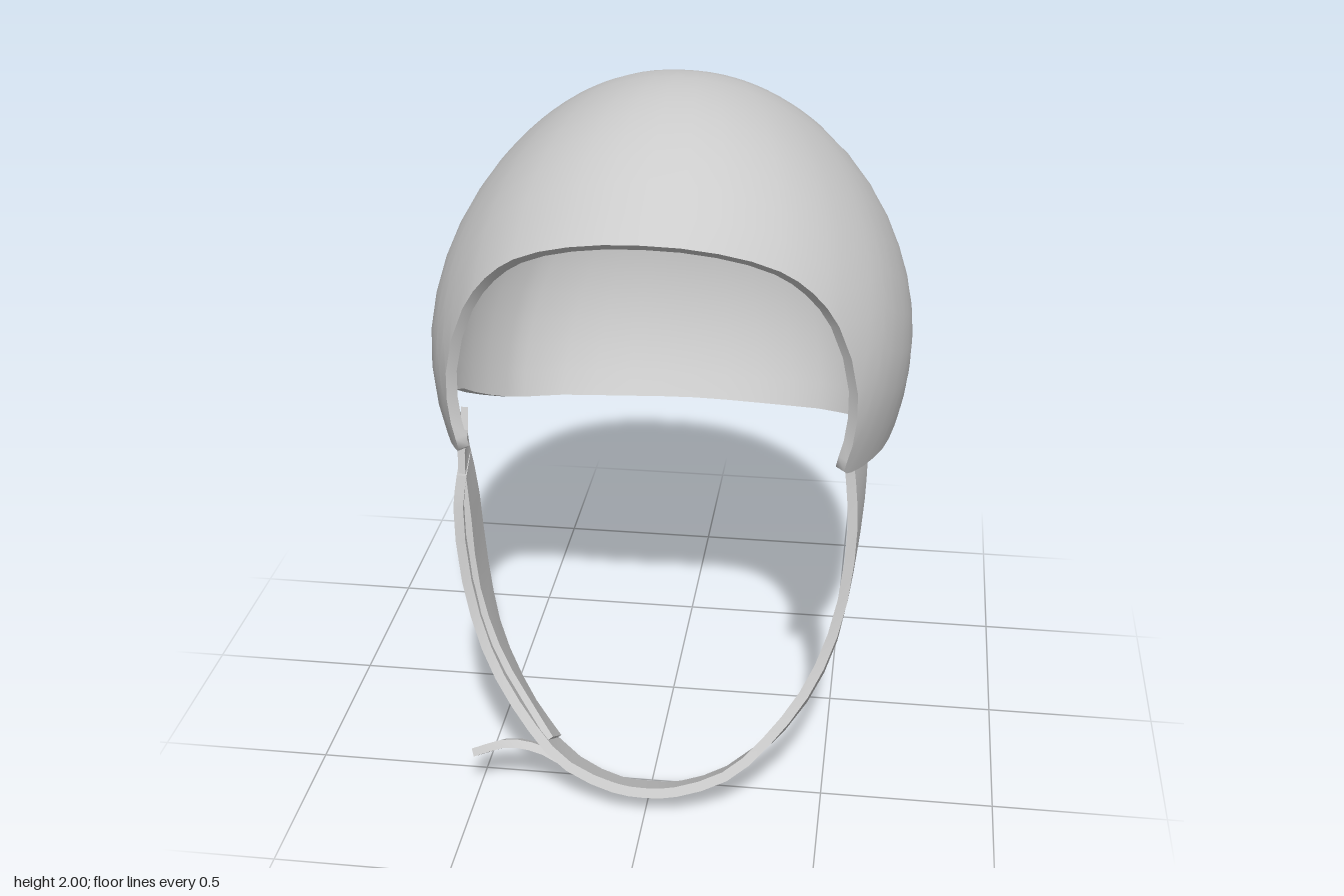
import * as THREE from 'three';
import { mergeGeometries, mergeVertices } from 'three/addons/utils/BufferGeometryUtils.js';

const V = (x, y, z) => new THREE.Vector3(x, y, z);
const material = new THREE.MeshStandardMaterial({ color: 0xcccccc, side: THREE.DoubleSide });

// Smooth surface through rows of points
function grid(rows) {
  const c = rows[0].length, index = [];
  for (let i = 0; i < rows.length - 1; i++) {
    for (let j = 0; j < c - 1; j++) {
      const a = i * c + j, d = a + c;
      index.push(a, d, a + 1, a + 1, d, d + 1);
    }
  }
  const g = new THREE.BufferGeometry().setFromPoints(rows.flat());
  g.setIndex(index);
  const merged = mergeVertices(g, 1e-5);
  merged.computeVertexNormals();
  return merged;
}

function part(name, patches) {
  const mesh = new THREE.Mesh(mergeGeometries(patches), material);
  mesh.name = name;
  return mesh;
}

// Dome: longer in front, squarer at the back, slightly peaked across the sides
const CENTRE = V(0, 1.25, 0);
function domePoint(dir) {
  const back = dir.z < 0, n = back ? 2.45 : 2;
  const level = Math.pow(
    Math.pow(Math.abs(dir.x) / 0.695, n) + Math.pow(Math.abs(dir.z) / (back ? 0.69 : 0.87), n), 1 / n);
  const lengthwise = dir.z ** 2 / (dir.x ** 2 + dir.z ** 2 + 1e-9);
  const m = dir.y < 0 ? 2 : 1.83 + (back ? 0.17 : 0.12) * lengthwise;
  const r = Math.pow(Math.pow(level, m) + Math.pow(Math.abs(dir.y) / 0.75, m), -1 / m);
  return dir.clone().multiplyScalar(r).add(CENTRE);
}

// Inside of the wall; below the centre it moves in almost level
function innerPoint(p) {
  const o = p.clone().sub(CENTRE);
  return o.multiply(V(0.955, o.y > 0 ? 0.955 : 0.985, 0.955)).add(CENTRE);
}

function makeShell() {
  // Half of the rim, from the brow over the ear to the nape
  const half = [
    [0, 1.75, 0.655], [0.2, 1.735, 0.64], [0.365, 1.68, 0.595], [0.45, 1.605, 0.557], [0.515, 1.5, 0.53],
    [0.56, 1.3, 0.515], [0.56, 1.15, 0.53], [0.55, 1.07, 0.545], [0.575, 1.045, 0.5], [0.62, 1.03, 0.35],
    [0.655, 1.02, 0.2], [0.665, 1.055, 0.1], [0.65, 0.98, -0.05], [0.58, 0.89, -0.23], [0.54, 0.86, -0.3],
    [0.43, 0.82, -0.42], [0.22, 0.79, -0.51], [0, 0.78, -0.54],
  ].map((p) => V(...p));
  const mirrored = half.slice(1, -1).reverse().map((p) => V(-p.x, p.y, p.z));
  const loop = [...half, ...mirrored];
  const rim = new THREE.CatmullRomCurve3(loop, true).getPoints(loop.length * 2)
    .map((p) => p.sub(CENTRE).normalize());

  // Great arcs run from a pole high on the back to the rim
  const pole = V(0, 0.75, -0.66).normalize(), rings = 14;
  const outer = Array.from({ length: rings + 1 }, (_, i) => rim.map((dir) => {
    const angle = pole.angleTo(dir), t = i / rings;
    const d = pole.clone().multiplyScalar(Math.sin((1 - t) * angle))
      .addScaledVector(dir, Math.sin(t * angle)).normalize();
    return domePoint(d);
  }));
  const inner = outer.map((row) => row.map(innerPoint));
  return part('helmetShell', [
    grid(outer),
    grid([outer[rings], inner[rings]]),
    grid([...inner].reverse()),
  ]);
}

// Flat band between a front and a back edge, thickened inwards
function makeStrap(name, front, back, thickness, steps) {
  const f = new THREE.CatmullRomCurve3(front), b = new THREE.CatmullRomCurve3(back);
  const sections = [];
  for (let i = 0; i <= steps; i++) {
    const t = i / steps, F = f.getPoint(t), B = b.getPoint(t);
    const along = f.getTangent(t).add(b.getTangent(t));
    const inward = along.cross(B.clone().sub(F)).normalize().multiplyScalar(-thickness);
    sections.push([F, B, B.clone().add(inward), F.clone().add(inward)]);
  }
  const sides = [0, 1, 2, 3].map((k) => grid(sections.map((s) => [s[k], s[(k + 1) % 4]])));
  const s = sections[0], e = sections[steps];
  const caps = [grid([[s[3], s[2]], [s[0], s[1]]]), grid([[e[0], e[1]], [e[3], e[2]]])];
  return part(name, [...sides, ...caps]);
}

export function createModel() {
  const model = new THREE.Group();
  model.name = 'helmet';
  model.add(makeShell());

  // Strap edges on the left side, from the shell down to the chin
  const front = [
    [0.55, 1.08, 0.43], [0.562, 1.0, 0.44], [0.572, 0.85, 0.46], [0.545, 0.6, 0.49], [0.475, 0.4, 0.54],
    [0.37, 0.25, 0.6], [0.25, 0.14, 0.655], [0.1, 0.085, 0.685], [0, 0.075, 0.69],
  ].map((p) => V(...p));
  const back = [
    [0.585, 1.08, 0.26], [0.588, 1.0, 0.268], [0.584, 0.85, 0.285], [0.557, 0.6, 0.31], [0.51, 0.38, 0.36],
    [0.41, 0.2, 0.43], [0.25, 0.06, 0.51], [0.1, 0.01, 0.55], [0, 0, 0.55],
  ].map((p) => V(...p));

  // Chin strap, ending free just below the shell on the right
  const foldUp = (pts) => pts.slice(1, -1).reverse().map((p) => V(-p.x, Math.min(p.y, 0.95), p.z));
  model.add(makeStrap('chinStrap', [...front, ...foldUp(front)], [...back, ...foldUp(back)], 0.028, 32));

  // Right strap, hanging from the shell inside the chin strap
  const hang = (pts, shift) => [
    ...pts.slice(0, 6).map((p) => V(p.y > 0.95 ? -p.x : 0.024 - p.x, p.y + (p.y < 0.5 ? 0.014 : 0), p.z - shift)),
    V(-0.29, pts[6].y + 0.055, pts[6].z - 0.02 - shift),
  ].reverse();
  model.add(makeStrap('rightStrap', hang(front, 0.02), hang(back, 0), 0.02, 14));

  // Loose end of the chin strap
  const tailFront = [[-0.08, 0.083, 0.682], [-0.18, 0.11, 0.67], [-0.3, 0.163, 0.642], [-0.4, 0.175, 0.635], [-0.505, 0.135, 0.637]];
  const tailBack = [[-0.08, 0.008, 0.552], [-0.18, 0.032, 0.545], [-0.3, 0.083, 0.53], [-0.41, 0.1, 0.522], [-0.5, 0.065, 0.52]];
  model.add(makeStrap('strapTail', tailFront.map((p) => V(...p)), tailBack.map((p) => V(...p)), 0.024, 10));
  return model;
}
